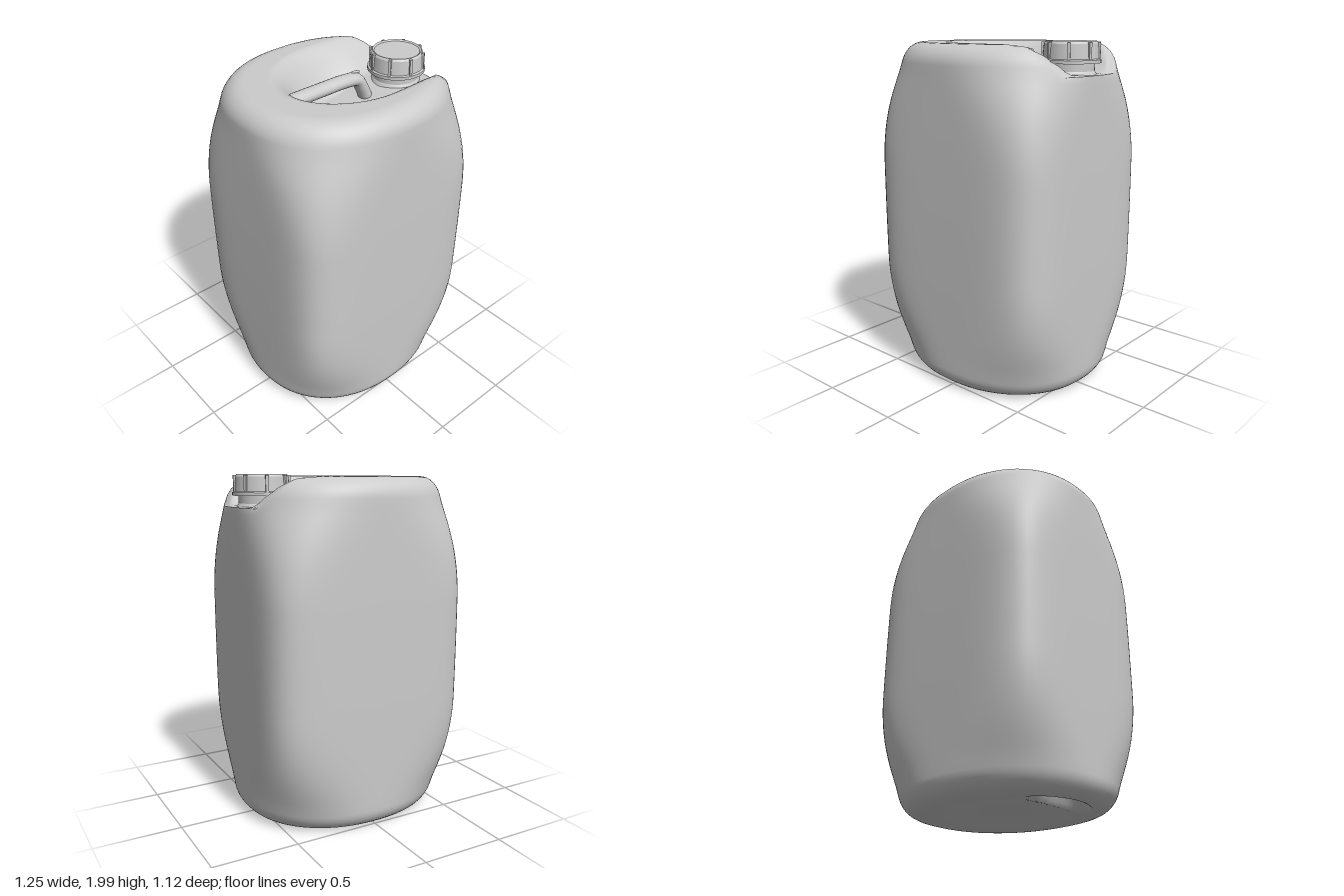
import * as THREE from 'three';

const { smoothstep, clamp, lerp } = THREE.MathUtils;
const grey = new THREE.MeshStandardMaterial({ color: 0xcccccc, side: THREE.DoubleSide });

function add(parent, name, geometry, x = 0, y = 0, z = 0) {
  const mesh = new THREE.Mesh(geometry, grey);
  mesh.name = name;
  mesh.position.set(x, y, z);
  parent.add(mesh);
  return mesh;
}

// Height of the top: a raised rim, a bowl around the handle, a slope towards the spout
function topHeight(x, z, y) {
  const slope = 1.985 - 0.165 * clamp((x - 0.35) / 0.23, 0, 1) ** 2;
  const reach = Math.hypot(Math.min(0, x - 0.1) * 0.8, z);
  const floor = lerp(1.76, 1.825, smoothstep(x, 0.1, 0.35));
  const bowl = 1 - smoothstep(reach, 0.13, 0.38);
  return Math.min(y, slope, lerp(1.985, floor, bowl));
}

// Height of the underside: a shallow hollow with a crosswise grip pocket
function bottomHeight(x, z) {
  const hollow = 0.03 * (1 - smoothstep(Math.hypot(x, z), 0.1, 0.42));
  const bend = x + 0.4 - 0.6 * z * z;
  const grip = 0.09 * (1 - smoothstep(Math.hypot(bend / 0.1, z / 0.26), 0.35, 1));
  return 0.012 + Math.max(hollow, grip);
}

function bodyGeometry() {
  const around = 128, rings = 48, low = 0.012, high = 1.985, round = 0.11;
  const rows = [];
  for (let i = 0; i < rings; i++) rows.push({ y: low, inset: round, s: Math.max(i / rings, 0.001), zone: 'bottom' });
  for (let i = 0; i <= 8; i++) {
    const a = (i / 8) * Math.PI / 2;
    rows.push({ y: low + round * (1 - Math.sin(a)), inset: round * (1 - Math.cos(a)), s: 1 });
  }
  // rounded lower edge runs from the underside out to the wall
  const edge = rows.splice(rings).map((r, i) => {
    const a = (i / 8) * Math.PI / 2;
    return { y: low + round * (1 - Math.cos(a)), inset: round * (1 - Math.sin(a)), s: 1 };
  });
  rows.push(...edge);
  for (let i = 1; i < 40; i++) rows.push({ y: lerp(low + round, high - round, i / 40), inset: 0, s: 1 });
  for (let i = 0; i <= 8; i++) {
    const a = (i / 8) * Math.PI / 2;
    rows.push({ y: high - round * (1 - Math.sin(a)), inset: round * (1 - Math.cos(a)), s: 1 });
  }
  for (let i = rings - 1; i >= 0; i--) rows.push({ y: high, inset: round, s: Math.max(i / rings, 0.001) });

  const points = [], index = [];
  rows.forEach((row, i) => {
    const off = Math.abs(row.y - 1);
    // corners are tight along the middle and open up towards both ends
    const n = lerp(5.5, 2.2, smoothstep(off, 0.3, 0.95));
    const swell = 1 - 0.02 * off * off;
    const a = 0.623 * swell - row.inset, b = 0.562 * swell - row.inset;
    for (let j = 0; j < around; j++) {
      const t = (j / around) * Math.PI * 2, c = Math.cos(t), s = Math.sin(t);
      const r = row.s * (Math.abs(c) ** n + Math.abs(s) ** n) ** (-1 / n);
      const x = a * r * c, z = b * r * s;
      let y = row.y;
      if (row.zone === 'bottom') y = bottomHeight(x, z);
      else if (y > 1.8) y = topHeight(x, z, y);
      points.push(x, y, z);
      if (i < rows.length - 1) {
        const p = i * around + j, q = i * around + (j + 1) % around;
        index.push(p, p + around, q, q, p + around, q + around);
      }
    }
  });
  const g = new THREE.BufferGeometry();
  g.setAttribute('position', new THREE.Float32BufferAttribute(points, 3));
  g.setIndex(index);
  g.computeVertexNormals();
  return g;
}

// Lathe whose points are doubled so each step keeps a crisp edge
function crispLathe(profile, segments = 48) {
  const group = new THREE.Group();
  for (let i = 0; i < profile.length - 1; i++) {
    const pair = [profile[i], profile[i + 1]].map(([r, y]) => new THREE.Vector2(r, y));
    add(group, 'band' + (i + 1), new THREE.LatheGeometry(pair, segments));
  }
  return group;
}

export function createModel() {
  const model = new THREE.Group();
  model.name = 'jerrycan';
  add(model, 'body', bodyGeometry());

  // Carrying handle: level bar with a sloping leg at the spout end
  const path = new THREE.CatmullRomCurve3([
    [-0.46, 1.92], [-0.34, 1.918], [-0.1, 1.918], [0.08, 1.915],
    [0.155, 1.9], [0.195, 1.84], [0.23, 1.77], [0.27, 1.73],
  ].map(([x, y]) => new THREE.Vector3(x, y, 0)));
  const bar = new THREE.TubeGeometry(path, 60, 0.036, 16);
  bar.scale(1, 1, 1.28);
  add(model, 'handle', bar, 0, 0, -0.008);
  const nib = add(model, 'handleNib', new THREE.CapsuleGeometry(0.008, 0.04, 4, 8), 0.15, 1.945, -0.012);
  nib.rotation.z = Math.PI / 2 - 0.15;

  // Spout neck
  const neck = crispLathe([[0.155, 1.8], [0.13, 1.84], [0.13, 1.9]]);
  neck.name = 'neck';
  neck.position.x = 0.45;
  model.add(neck);

  // Screw cap with a flange and grip ribs
  const cap = crispLathe([
    [0.12, 1.882], [0.164, 1.882], [0.164, 1.9], [0.153, 1.905],
    [0.147, 1.985], [0.138, 1.997], [0.128, 1.99], [0, 1.99],
  ]);
  cap.name = 'cap';
  cap.position.x = 0.45;
  model.add(cap);
  for (let i = 0; i < 8; i++) {
    const a = ((i + 0.3) / 8) * Math.PI * 2;
    const rib = add(cap, 'capRib', new THREE.BoxGeometry(0.02, 0.095, 0.016), 0.149 * Math.cos(a), 1.945, 0.149 * Math.sin(a));
    rib.rotation.y = -a;
  }

  // Small round mark high on the side away from the spout
  const mark = add(model, 'sideMark', new THREE.TorusGeometry(0.018, 0.007, 8, 20), -0.602, 1.86, 0.09);
  mark.rotation.y = Math.PI / 2;
  return model;
}
